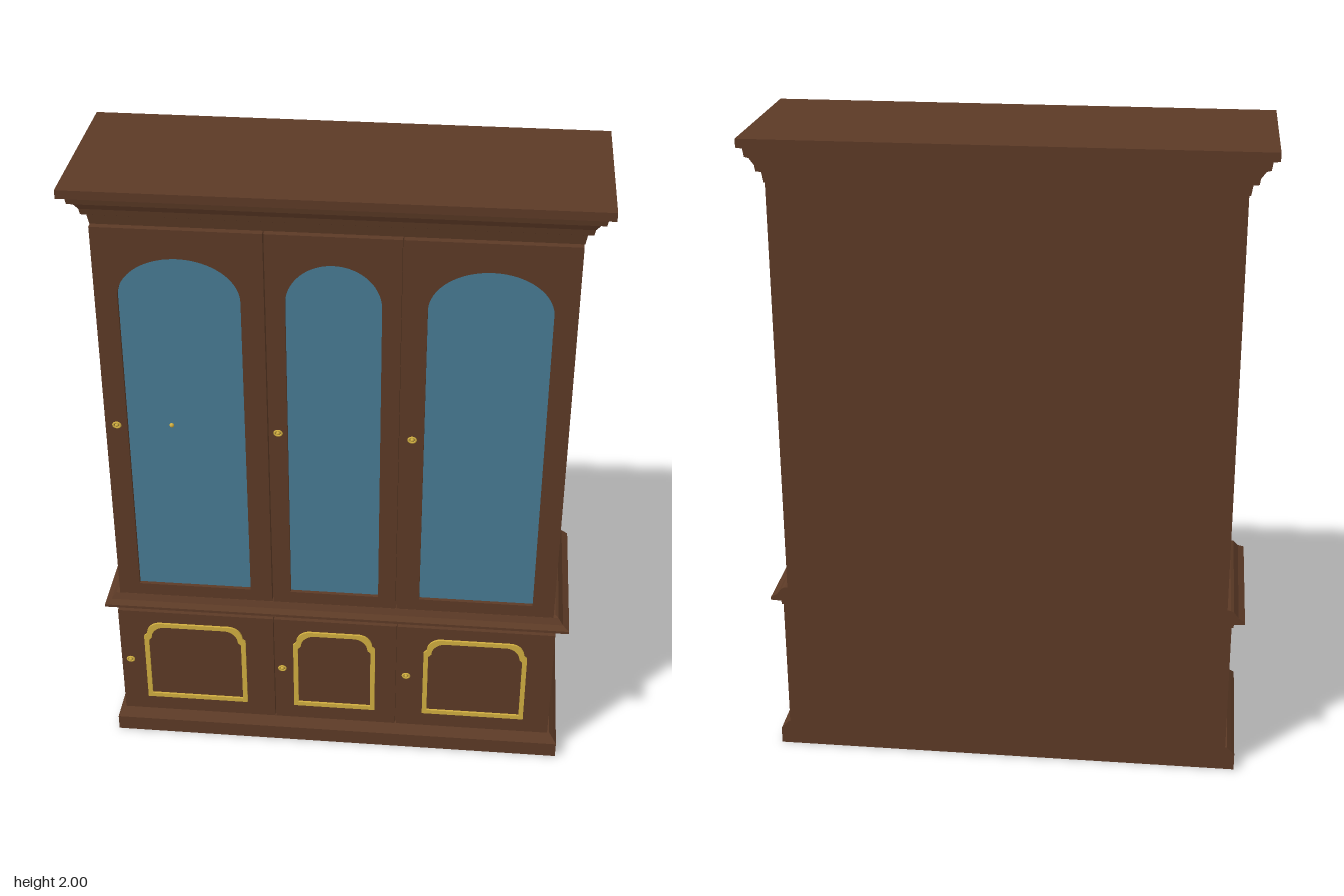
import * as THREE from 'three';

const BACK = -0.28;
const wood = new THREE.MeshStandardMaterial({ color: 0x5c3a26 });
wood.name = 'darkWood';
const glass = new THREE.MeshStandardMaterial({ color: 0x477a93 });
glass.name = 'blueGlass';
const brass = new THREE.MeshStandardMaterial({ color: 0xd0ae40 });
brass.name = 'brass';

// Moulded block with a flat back: rows of [y, half width, front z], bottom to top
function moulding(rows) {
  const pos = [];
  const ring = ([y, w, f]) => [[-w, y, f], [w, y, f], [w, y, BACK], [-w, y, BACK]];
  const quad = (a, b, c, d) => pos.push(...a, ...b, ...c, ...a, ...c, ...d);
  for (let i = 0; i < rows.length - 1; i++) {
    const lo = ring(rows[i]), hi = ring(rows[i + 1]);
    for (let k = 0; k < 4; k++) {
      const n = (k + 1) % 4;
      quad(lo[k], lo[n], hi[n], hi[k]);
    }
  }
  const b = ring(rows[0]), t = ring(rows[rows.length - 1]);
  quad(b[3], b[2], b[1], b[0]);
  quad(t[0], t[1], t[2], t[3]);
  const g = new THREE.BufferGeometry();
  g.setAttribute('position', new THREE.Float32BufferAttribute(pos, 3));
  g.computeVertexNormals();
  return g;
}

function rect(path, x0, x1, y0, y1) {
  path.moveTo(x0, y0);
  path.lineTo(x1, y0);
  path.lineTo(x1, y1);
  path.lineTo(x0, y1);
  path.closePath();
  return path;
}

// Opening with a half-elliptical head
function arched(path, x0, x1, y0, y1, rise) {
  path.moveTo(x0, y0);
  path.lineTo(x1, y0);
  path.lineTo(x1, y1 - rise);
  path.absellipse((x0 + x1) / 2, y1 - rise, (x1 - x0) / 2, rise, 0, Math.PI, false, 0);
  path.closePath();
  return path;
}

// Panel outline with small shoulders below its rounded top corners
function shouldered(path, x0, x1, y0, y1) {
  const s = 0.01, r = 0.045;
  path.moveTo(x0, y0);
  path.lineTo(x1, y0);
  path.lineTo(x1, y1 - r - s);
  path.lineTo(x1 - s, y1 - r);
  path.absarc(x1 - s - r, y1 - r, r, 0, Math.PI / 2, false);
  path.absarc(x0 + s + r, y1 - r, r, Math.PI / 2, Math.PI, false);
  path.lineTo(x0, y1 - r - s);
  path.closePath();
  return path;
}

function extrude(shape, z0, z1) {
  const g = new THREE.ExtrudeGeometry(shape, { depth: z1 - z0, bevelEnabled: false, curveSegments: 20 });
  return g.translate(0, 0, z0);
}

export function createModel() {
  const root = new THREE.Group();
  root.name = 'bookcase';
  const add = (name, geo, mat, parent = root) => {
    const m = new THREE.Mesh(geo, mat);
    m.name = name;
    parent.add(m);
    return m;
  };

  // Carcass
  add('plinth', moulding([[0, 0.735, 0.25], [0.052, 0.735, 0.25], [0.064, 0.725, 0.238], [0.08, 0.71, 0.222]]), wood);
  add('lowerCabinet', moulding([[0.08, 0.705, 0.215], [0.515, 0.705, 0.215]]), wood);
  add('waistMoulding', moulding([
    [0.51, 0.71, 0.22], [0.522, 0.712, 0.222], [0.524, 0.745, 0.254], [0.533, 0.745, 0.254],
    [0.545, 0.725, 0.238], [0.565, 0.71, 0.228], [0.57, 0.7, 0.218],
  ]), wood);
  add('upperCabinet', moulding([[0.57, 0.69, 0.212], [1.88, 0.69, 0.212]]), wood);
  add('cornice', moulding([
    [1.875, 0.695, 0.225], [1.905, 0.7, 0.23], [1.907, 0.717, 0.234], [1.925, 0.72, 0.237],
    [1.945, 0.735, 0.246], [1.948, 0.748, 0.258], [1.972, 0.752, 0.262],
    [1.974, 0.772, 0.282], [2, 0.772, 0.282],
  ]), wood);

  // Small brass ring pull on a round boss
  const pull = (parent, x, y) => {
    const boss = add('knob', new THREE.SphereGeometry(0.006, 12, 8), brass, parent);
    boss.position.set(x, y, 0.241);
    const ring = add('knobPlate', new THREE.TorusGeometry(0.009, 0.003, 8, 18), brass, parent);
    ring.position.set(x, y, 0.241);
    ring.scale.x = 1.2;
  };

  // Glazed doors: [left edge, right edge, glass left, glass right, knob x]
  [
    [-0.695, -0.202, -0.628, -0.27, -0.66],
    [-0.198, 0.192, -0.142, 0.137, -0.17],
    [0.196, 0.693, 0.267, 0.625, 0.232],
  ].forEach(([x0, x1, g0, g1, k]) => {
    const door = new THREE.Group();
    door.name = 'glazedDoor';
    root.add(door);
    const frame = rect(new THREE.Shape(), x0, x1, 0.575, 1.872);
    frame.holes.push(arched(new THREE.Path(), g0, g1, 0.617, 1.782, 0.13));
    add('doorFrame', extrude(frame, 0.216, 0.24), wood, door);
    const pane = arched(new THREE.Shape(), g0, g1, 0.617, 1.782, 0.13);
    add('glassPane', extrude(pane, 0.222, 0.228), glass, door);
    pull(door, k, 1.215);
  });

  // Tiny stud on the first pane
  const stud = add('stud', new THREE.SphereGeometry(0.007, 10, 8), brass);
  stud.position.set(-0.494, 1.217, 0.23);

  // Panelled doors: [left edge, right edge, trim left, trim right, knob x]
  [
    [-0.708, -0.202, -0.627, -0.293, -0.678],
    [-0.198, 0.198, -0.137, 0.13, -0.174],
    [0.202, 0.703, 0.287, 0.62, 0.232],
  ].forEach(([x0, x1, t0, t1, k]) => {
    const door = new THREE.Group();
    door.name = 'panelDoor';
    root.add(door);
    add('doorLeaf', extrude(rect(new THREE.Shape(), x0, x1, 0.09, 0.5), 0.218, 0.238), wood, door);
    const trim = shouldered(new THREE.Shape(), t0, t1, 0.147, 0.458);
    trim.holes.push(shouldered(new THREE.Path(), t0 + 0.015, t1 - 0.015, 0.162, 0.443));
    add('panelTrim', extrude(trim, 0.236, 0.245), brass, door);
    pull(door, k, 0.3);
  });

  return root;
}
